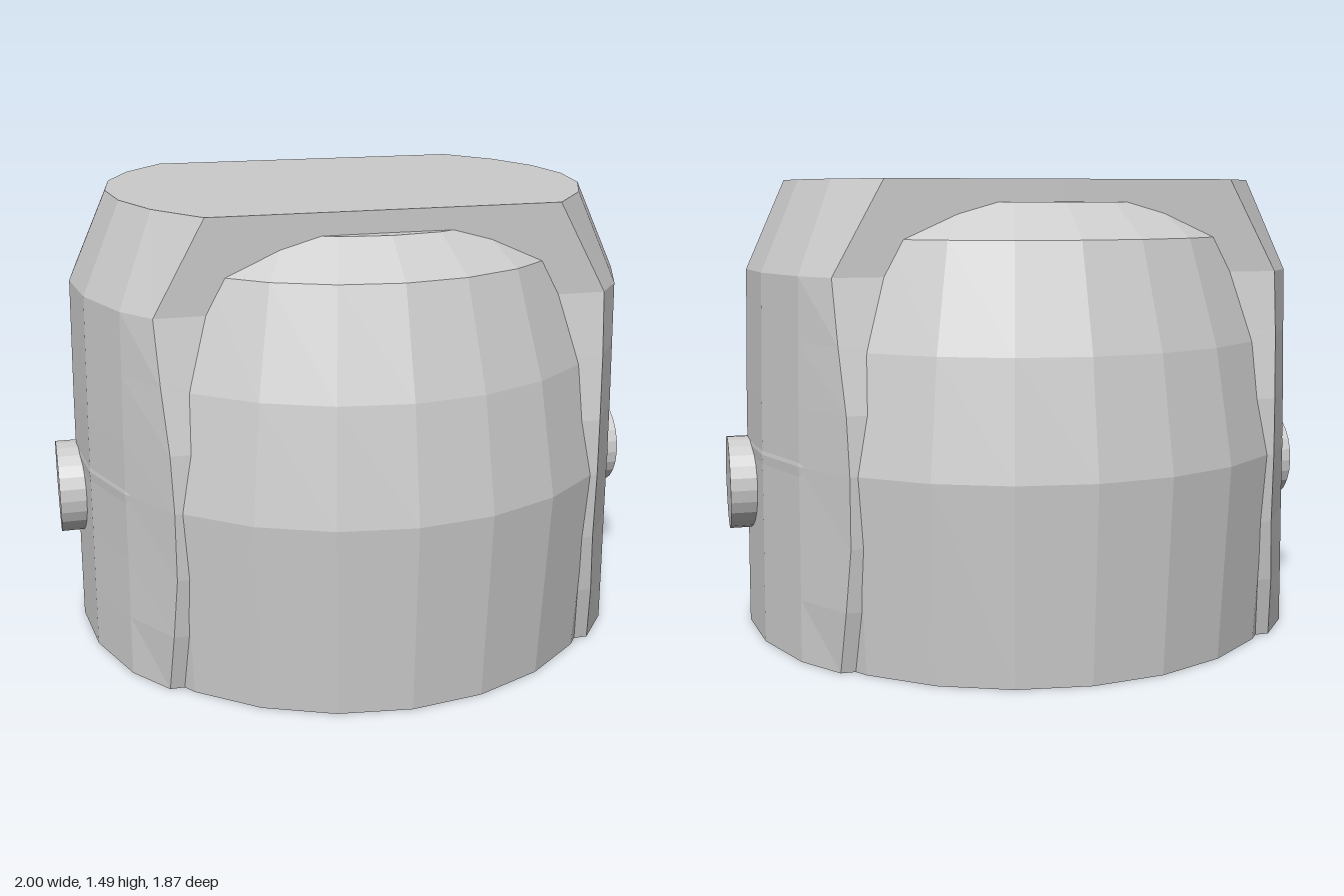
import * as THREE from 'three';

const material = new THREE.MeshStandardMaterial({ color: 0xcccccc, flatShading: true });

function part(name, geometry) {
  const mesh = new THREE.Mesh(geometry, material);
  mesh.name = name;
  return mesh;
}

// Skins a list of equally long rows of points, ordered from bottom to top.
function skin(rows) {
  const n = rows[0].length;
  const index = [];
  for (let i = 0; i < rows.length - 1; i++) {
    for (let j = 0; j < n - 1; j++) {
      const a = i * n + j, b = a + 1, d = a + n, c = d + 1;
      index.push(a, b, d, b, c, d);
    }
  }
  const geometry = new THREE.BufferGeometry();
  geometry.setAttribute('position', new THREE.Float32BufferAttribute(rows.flat(2), 3));
  geometry.setIndex(index);
  geometry.computeVertexNormals();
  return geometry;
}

// One half of the raised band: outer arc, flat front and back edges, flat top.
function bandGeometry() {
  // y, radius, edge x, edge z, inner x of the edge face
  const levels = [
    [0, 0.94, 0.71, 0.60, 0.62],
    [0.2, 0.938, 0.695, 0.64, 0.6],
    [0.4, 0.935, 0.68, 0.66, 0],
    [0.62, 0.933, 0.68, 0.665, 0],
    [0.8, 0.93, 0.685, 0.65, 0],
    [1.0, 0.925, 0.70, 0.61, 0],
    [1.2, 0.92, 0.71, 0.57, 0],
    [1.49, 0.79, 0.55, 0.57, 0],
  ];
  const rows = levels.map(([y, r, ex, ez, ix]) => {
    const arc = [-30, -15, 0, 15, 30].map((deg) => {
      const t = THREE.MathUtils.degToRad(deg);
      return [r * Math.cos(t), y, -r * Math.sin(t)];
    });
    return [[ix, y, ez], [ex, y, ez], ...arc, [ex, y, -ez], [ix, y, -ez]];
  });
  // Underside rim and top cap
  const rim = rows[0].map(([x, y, z], j, row) =>
    j === 0 || j === row.length - 1 ? [x, y, z] : [x * 0.94, y, z * 0.94]);
  const cap = rows[rows.length - 1].map(([, y, z]) => [0, y, z]);
  return skin([rim, ...rows, cap]);
}

export function createModel() {
  const model = new THREE.Group();
  model.name = 'domedHousing';

  // Faceted dome with a shallow recess underneath
  const profile = [
    [0, 0.06], [0.885, 0.06], [0.885, 0], [0.9, 0], [0.935, 0.62],
    [0.87, 0.98], [0.76, 1.31], [0.61, 1.42], [0, 1.43],
  ].map(([x, y]) => new THREE.Vector2(x, y));
  model.add(part('dome', new THREE.LatheGeometry(profile, 24)));

  // Band halves and side pegs, mirrored by a half turn
  const band = bandGeometry();
  const peg = new THREE.CylinderGeometry(0.155, 0.155, 0.16, 24);
  peg.rotateZ(-Math.PI / 2).translate(0.92, 0.485, 0);
  ['left', 'right'].forEach((side, i) => {
    const group = new THREE.Group();
    group.name = side + 'Side';
    group.add(part(side + 'Band', band), part(side + 'Peg', peg));
    group.rotation.y = i * Math.PI;
    model.add(group);
  });

  return model;
}
